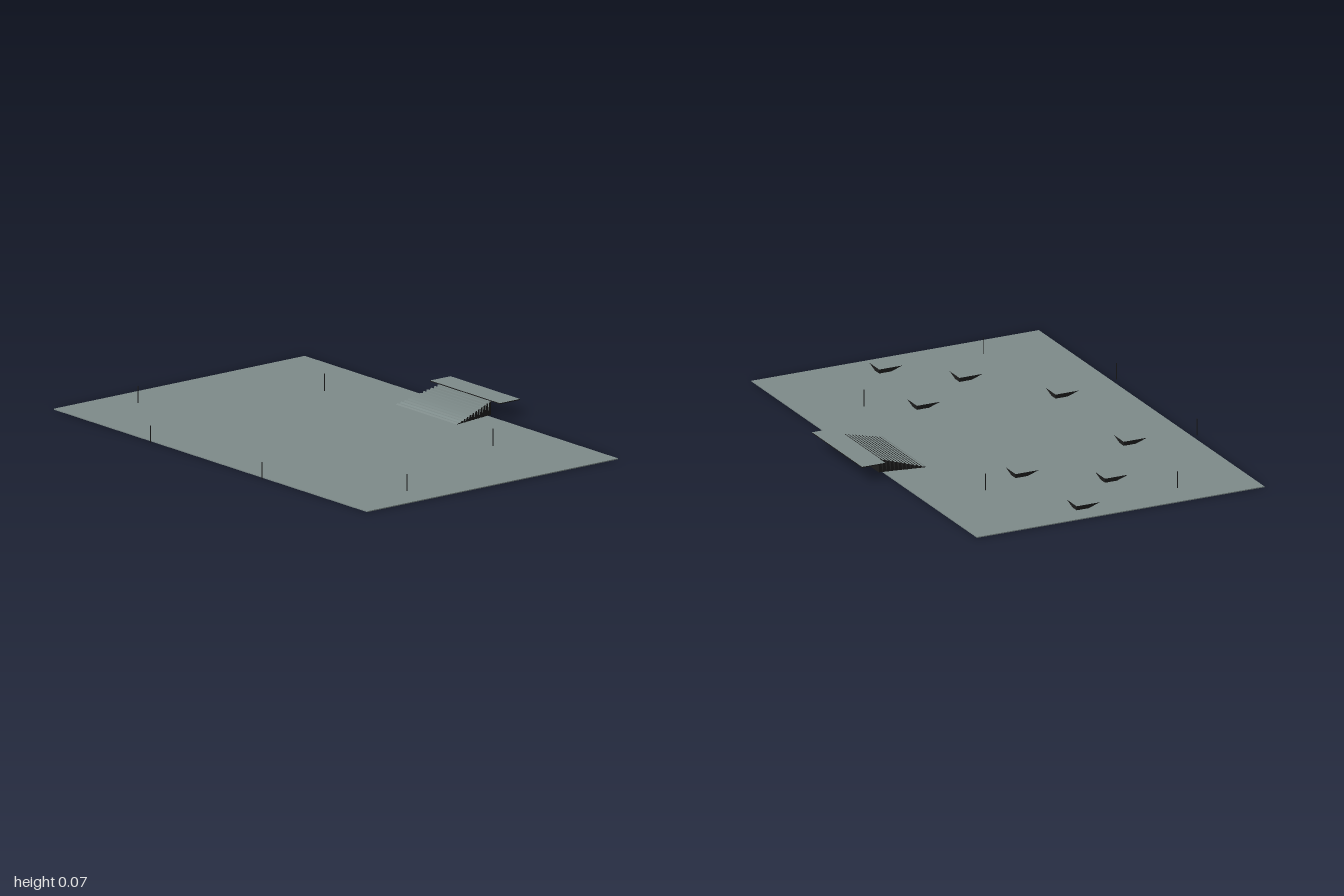
import * as THREE from 'three';

const material = (name, color) => {
  const m = new THREE.MeshStandardMaterial({ color });
  m.name = name;
  return m;
};

// Box whose bottom corners are moved by a rule
function shapedBox(width, height, depth, moveBottom) {
  const geometry = new THREE.BoxGeometry(width, height, depth);
  const p = geometry.attributes.position;
  for (let i = 0; i < p.count; i++) {
    if (p.getY(i) < 0) {
      const [dx, dz] = moveBottom(p.getX(i), p.getZ(i));
      p.setX(i, p.getX(i) + dx);
      p.setZ(i, p.getZ(i) + dz);
    }
  }
  geometry.computeVertexNormals();
  return geometry;
}

export function createModel() {
  const group = new THREE.Group();
  const grey = material('slate grey', 0x7e8b8a);
  const black = material('soft black', 0x1c1c1c);

  // Box face order: +x, -x, +y, -y, +z, -z
  const greyTop = [black, black, grey, black, black, black];
  const greyTopAndFront = [black, black, grey, black, grey, black];

  const add = (name, geometry, mat, x, y, z) => {
    const mesh = new THREE.Mesh(geometry, mat);
    mesh.name = name;
    mesh.position.set(x, y, z);
    group.add(mesh);
  };

  // Flat floor slab
  add('floor', new THREE.BoxGeometry(2, 0.004, 1.285), grey, 0, 0.002, 0.0475);

  // Low pads, all undercut on their front and left sides
  const padGeometry = shapedBox(0.087, 0.017, 0.104,
    (x, z) => [x > 0 ? -0.05 : 0, z > 0 ? -0.05 : 0]);
  const pads = [[0.875, -0.057], [0.437, -0.109], [0.645, 0.186], [0.302, 0.443]];

  // Thin upright posts, mirrored
  const postGeometry = new THREE.CylinderGeometry(0.002, 0.002, 0.07, 8);
  const posts = [[0.537, -0.325], [0.858, 0.372], [0.357, 0.712]];

  for (const side of [-1, 1]) {
    for (const [x, z] of pads) add('pad', padGeometry, greyTop, side * x, 0.0175, z);
    for (const [x, z] of posts) add('post', postGeometry, black, side * x, 0.039, z);
  }

  // Narrowing staircase of upright fins with sloping fronts
  const steps = 12;
  const pitch = 0.0165;
  const thickness = pitch * 0.45;
  for (let i = 0; i < steps; i++) {
    const t = i / (steps - 1);
    const height = 0.004 + 0.052 * t;
    const fin = shapedBox(0.39 - 0.06 * t, height, thickness,
      (x, z) => [0, z > 0 ? pitch - thickness : 0]);
    const back = -0.415 - (i + 1) * pitch;
    add('step', fin, greyTopAndFront, 0, 0.004 + height / 2, back + thickness / 2);
  }

  // Landing behind the top step
  add('landing', new THREE.BoxGeometry(0.444, 0.004, 0.104), greyTop, 0, 0.062, -0.665);

  return group;
}
